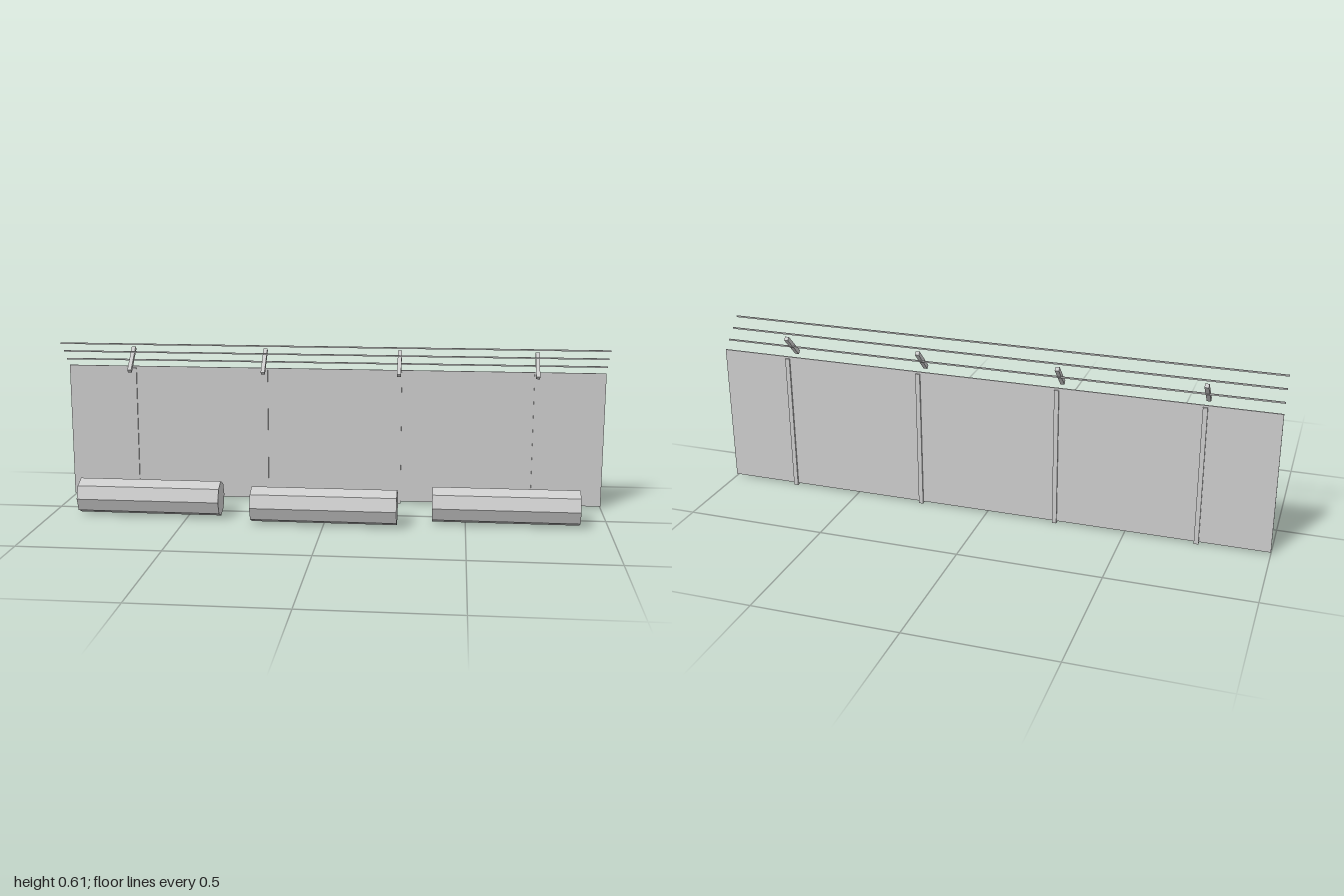
import * as THREE from 'three';

export function createModel() {
  const group = new THREE.Group();
  const grey = new THREE.MeshStandardMaterial({ color: 0xcccccc, flatShading: true });
  grey.name = 'plain grey';

  const add = (name, geometry, x, y, z) => {
    const mesh = new THREE.Mesh(geometry, grey);
    mesh.name = name;
    mesh.position.set(x, y, z);
    group.add(mesh);
    return mesh;
  };

  // Thin fence sheet
  add('fencePanel', new THREE.BoxGeometry(2, 0.5, 0.005), 0, 0.257, -0.177);

  // Posts, each with a slanted arm above
  const postGeo = new THREE.BoxGeometry(0.016, 0.5, 0.016);
  const armGeo = new THREE.BoxGeometry(0.0145, 0.109, 0.0145);
  for (const x of [-0.75, -0.25, 0.25, 0.75]) {
    add('post', postGeo, x, 0.25, -0.177);
    add('arm', armGeo, x, 0.537, -0.141).rotation.x = -Math.PI / 4;
  }

  // Three wires stepping up and forward
  const wireGeo = new THREE.BoxGeometry(2, 0.005, 0.005);
  for (let i = 0; i < 3; i++) {
    add('wire', wireGeo, 0, 0.535 + i * 0.034, -0.148 + i * 0.034);
  }

  // Eight-sided rolls lying in front, the middle one further forward
  const rollGeo = new THREE.CylinderGeometry(0.064, 0.064, 0.518, 8).rotateZ(Math.PI / 2);
  for (const side of [-1, 0, 1]) {
    add('roll', rollGeo, side * 0.641, 0.0645, side === 0 ? 0.123 : 0.063);
  }

  return group;
}
